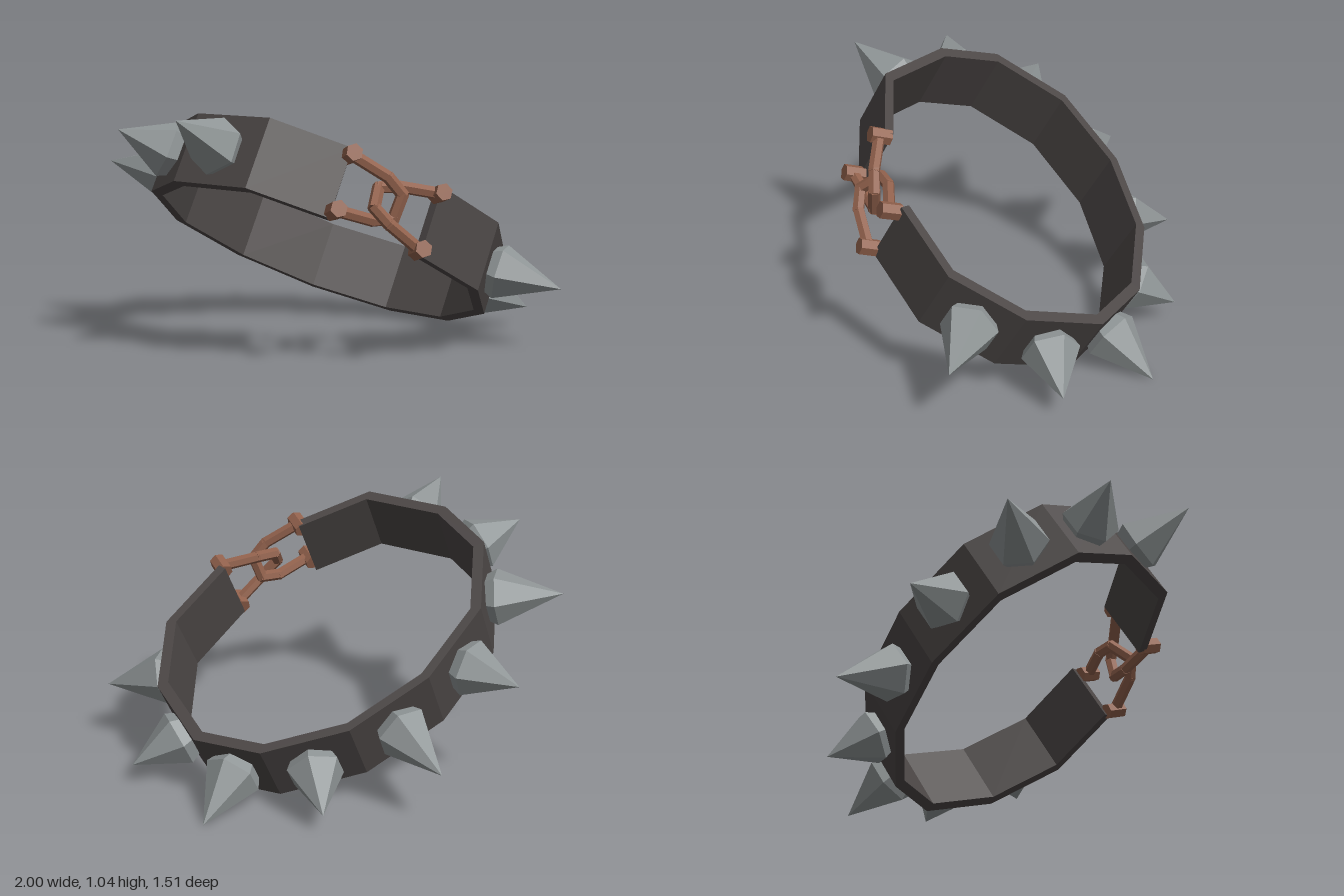
import * as THREE from 'three';

const V = (x, y, z) => new THREE.Vector3(x, y, z);
const paint = (name, color) => {
  const m = new THREE.MeshStandardMaterial({ color });
  m.name = name;
  return m;
};

// Faceted mesh: every face keeps its own normal
function facet(geo, material, name) {
  const g = geo.index ? geo.toNonIndexed() : geo;
  g.computeVertexNormals();
  const mesh = new THREE.Mesh(g, material);
  mesh.name = name;
  return mesh;
}

// Stand a mesh at a point with +y along dir and +z close to side
function orient(mesh, at, dir, side) {
  const y = dir.clone().normalize();
  const x = y.clone().cross(side).normalize();
  const z = x.clone().cross(y);
  mesh.quaternion.setFromRotationMatrix(new THREE.Matrix4().makeBasis(x, y, z));
  mesh.position.copy(at);
  return mesh;
}

export function createModel() {
  const leather = paint('dark leather', 0x4b4645);
  const steel = paint('steel', 0x8f9596);
  const copper = paint('copper', 0x91614c);
  const model = new THREE.Group();
  model.name = 'spikedCollar';

  // Tilted ring: axis, band width and upper rim corners (x, z)
  const axis = V(0.243, 0.857, -0.453).normalize();
  const width = axis.clone().multiplyScalar(0.309);
  const onPlane = ([x, z]) => V(x, (0.6 - 0.243 * x + 0.453 * z) / 0.857, z);
  const rim = [
    [0.152, 0.49], [-0.174, 0.546], [-0.51, 0.354], [-0.665, 0.12],
    [-0.635, -0.2], [-0.41, -0.46], [-0.085, -0.608], [0.28, -0.61],
    [0.562, -0.475], [0.74, -0.18], [0.727, 0.134], [0.505, 0.36],
  ].map(onPlane);
  const centre = onPlane([0.041, -0.044]);

  // Band: outer wall, inner wall, two rims and two end caps
  const ring = rim.map((p) => {
    const inner = p.clone().lerp(centre, 0.065);
    return { ot: p, ob: p.clone().sub(width), it: inner, ib: inner.clone().sub(width) };
  });
  const pos = [];
  const quad = (a, b, c, d) => [a, b, c, a, c, d].forEach((p) => pos.push(p.x, p.y, p.z));
  for (let i = 0; i < ring.length - 1; i++) {
    const a = ring[i], b = ring[i + 1];
    quad(a.ot, b.ot, b.ob, a.ob);
    quad(b.it, a.it, a.ib, b.ib);
    quad(b.ot, a.ot, a.it, b.it);
    quad(a.ob, b.ob, b.ib, a.ib);
  }
  const s = ring[0], e = ring[ring.length - 1];
  quad(s.ot, s.ob, s.ib, s.it);
  quad(e.it, e.ib, e.ob, e.ot);
  const bandGeo = new THREE.BufferGeometry();
  bandGeo.setAttribute('position', new THREE.Float32BufferAttribute(pos, 3));
  model.add(facet(bandGeo, leather, 'band'));

  // Spikes: one per panel, from the panel's middle to its tip
  const tips = [
    V(-0.51, 1.043, 0.754), V(-0.846, 0.963, 0.385), V(-1, 0.775, -0.037),
    V(-0.788, 0.508, -0.41), V(-0.46, 0.25, -0.705), V(0.02, 0.094, -0.76),
    V(0.515, 0.006, -0.69), V(0.843, 0.1, -0.342), V(0.995, 0.278, 0.096),
  ];
  const spikes = new THREE.Group();
  spikes.name = 'spikes';
  tips.forEach((tip, i) => {
    const base = rim[i + 1].clone().add(rim[i + 2]).multiplyScalar(0.5).addScaledVector(width, -0.5);
    const dir = tip.clone().sub(base);
    const profile = [[0.095, -0.02], [0.124, 0.04], [0, dir.length()]].map((p) => new THREE.Vector2(...p));
    spikes.add(orient(facet(new THREE.LatheGeometry(profile, 6), steel, 'spike'), base, dir, axis));
  });
  model.add(spikes);

  // Clasp: two interlocked U links, each pinned to a band end by two bolts
  const out = V(0.45, 0.3, 0.84).addScaledVector(axis, -axis.dot(V(0.45, 0.3, 0.84))).normalize();
  const bar = (a, b, r, name) => {
    const d = b.clone().sub(a);
    const mesh = facet(new THREE.CylinderGeometry(r, r, d.length() + r * 0.7, 6), copper, name);
    return orient(mesh, a.clone().lerp(b, 0.5), d, out);
  };
  const makeLink = (name, top, bottom, reach, twist) => {
    const link = new THREE.Group();
    link.name = name;
    const corner = (p, up, t, lift) => p.clone().addScaledVector(reach, t)
      .addScaledVector(axis, -up * (t > 0.5 ? 0.075 : 0.035)).addScaledVector(out, lift * up * twist);
    const path = [
      top, corner(top, 1, 0.42, 0.035), corner(top, 1, 0.62, 0.03),
      corner(bottom, -1, 0.62, 0.03), corner(bottom, -1, 0.42, 0.035), bottom,
    ];
    for (let i = 0; i < path.length - 1; i++) link.add(bar(path[i], path[i + 1], 0.026, 'linkBar'));
    for (const p of [top, bottom]) {
      link.add(bar(p.clone().addScaledVector(out, -0.035), p.clone().addScaledVector(out, 0.03), 0.037, 'bolt'));
    }
    model.add(link);
  };
  const reach = V(0.34, -0.172, -0.117);
  makeLink('rightLink', V(0.15, 0.893, 0.515), V(0.105, 0.685, 0.645), reach, 1);
  makeLink('leftLink', V(0.5, 0.725, 0.41), V(0.43, 0.51, 0.52), reach.clone().negate(), -1);

  return model;
}
